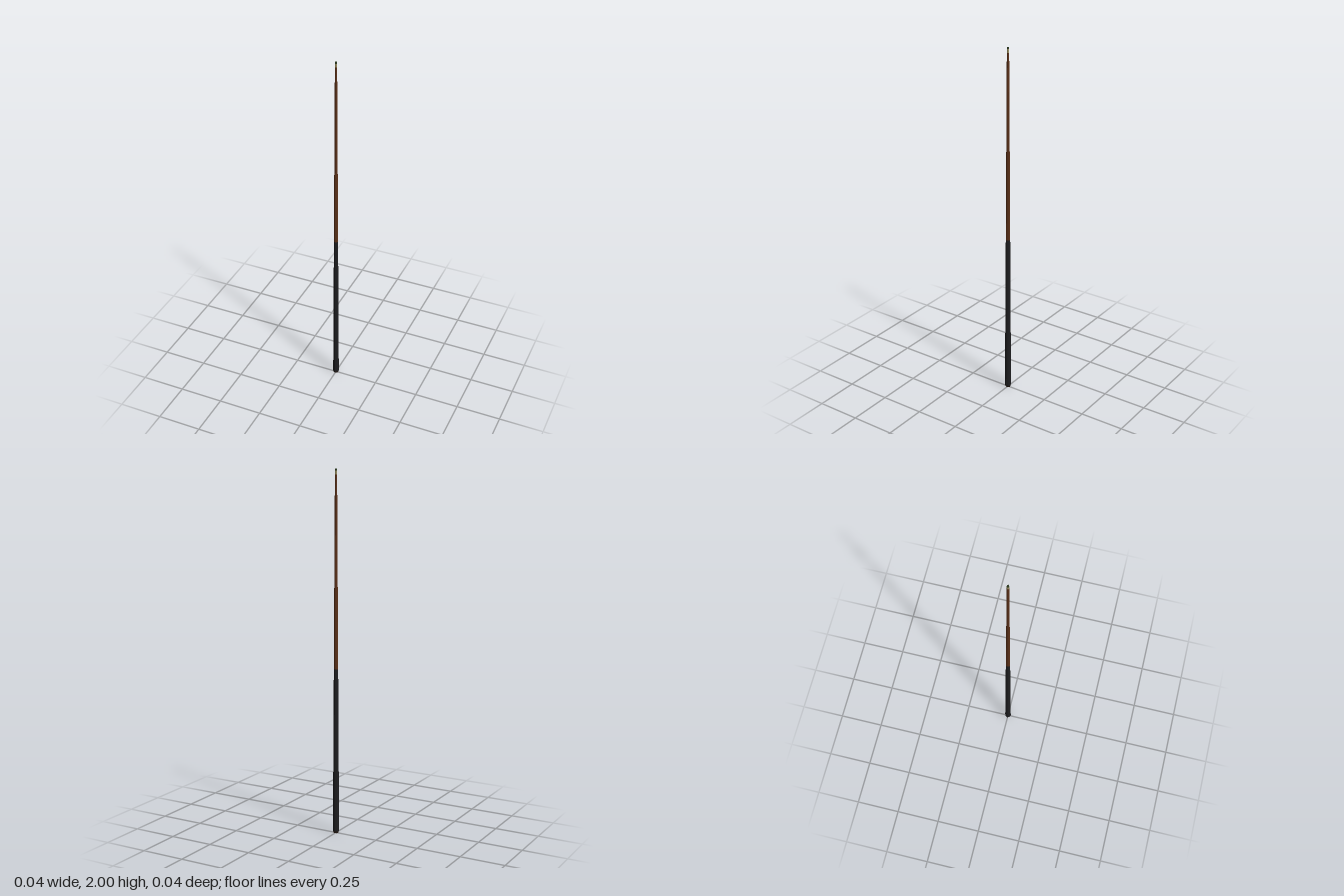
import * as THREE from 'three';

const SIDES = 8;

// Radius of the tapering cue at height y
function radiusAt(y) {
  return THREE.MathUtils.lerp(0.0178, 0.006, y / 2);
}

export function createModel() {
  const cue = new THREE.Group();
  cue.name = 'cue';

  // Eight-sided section running between two heights
  function section(name, y0, y1, color, r0 = radiusAt(y0), r1 = radiusAt(y1)) {
    const geometry = new THREE.CylinderGeometry(r1, r0, y1 - y0, SIDES);
    const material = new THREE.MeshStandardMaterial({ color, flatShading: true });
    const mesh = new THREE.Mesh(geometry, material);
    mesh.name = name;
    mesh.position.y = (y0 + y1) / 2;
    cue.add(mesh);
  }

  // Butt end: chamfered bumper and dark handle
  section('bumper', 0, 0.012, 0x2a1c14, 0.013, radiusAt(0.012));
  section('handle', 0.012, 0.93, 0x1e1e20);

  // Wooden shaft
  section('shaft', 0.93, 1.97, 0x5a3018);

  // Pale ferrule and chalked tip
  section('ferrule', 1.97, 1.99, 0x9a8f60);
  section('tip', 1.99, 2, 0x2c3a20, radiusAt(1.99), 0.0045);

  return cue;
}
